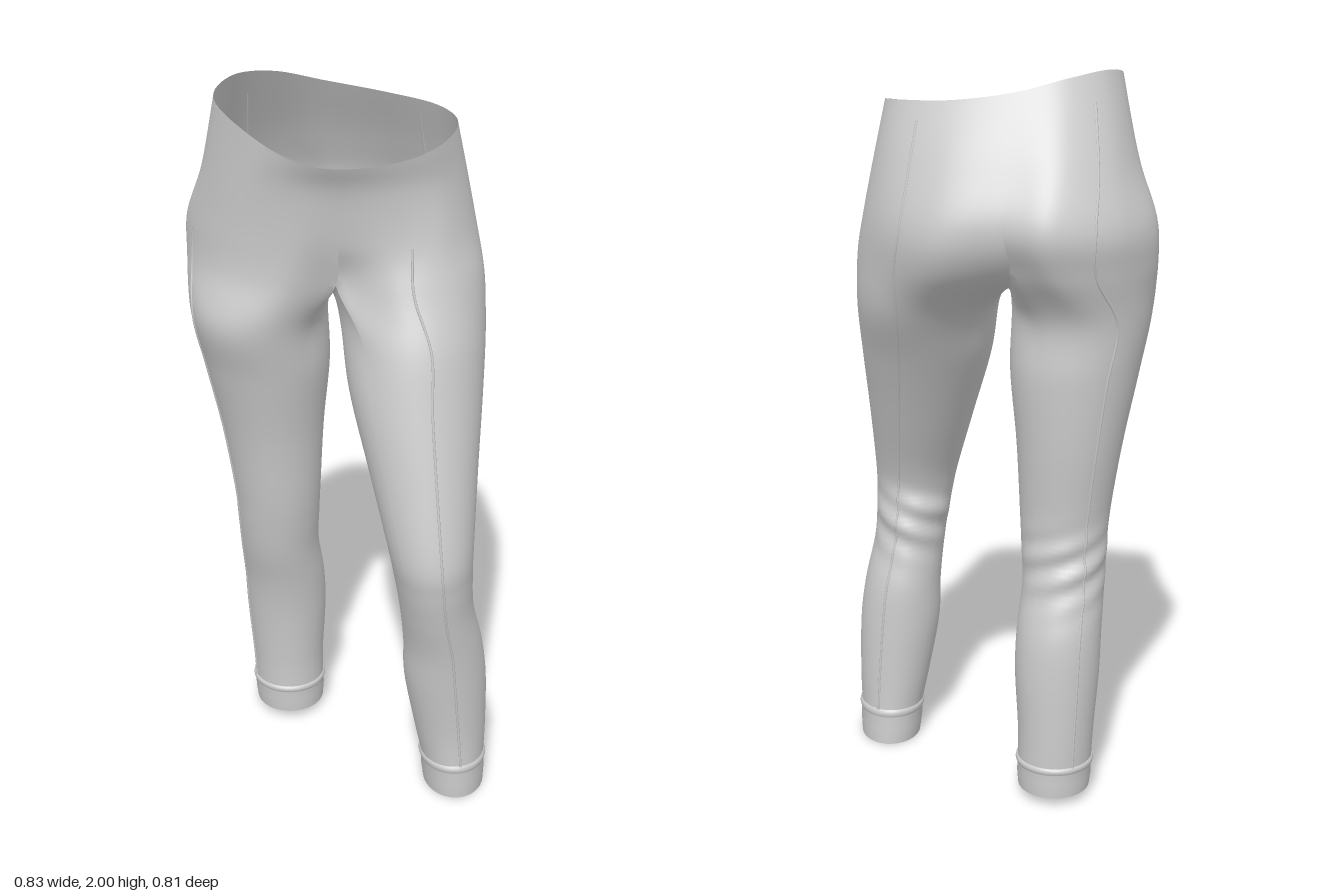
import * as THREE from 'three';
import { mergeVertices } from 'three/addons/utils/BufferGeometryUtils.js';

const V = (x, y, z) => new THREE.Vector3(x, y, z);
const LEFT = 1, RIGHT = -1;

// Pelvis rings: 12 (x, z) pairs from front centre, round the left side, back centre, right side.
const waistY = [1.85, 1.86, 1.887, 1.91, 1.922, 1.932, 1.955, 1.988, 2, 1.972, 1.9, 1.86];
const pelvisRings = [
  [waistY, [0, .22, .14, .2, .25, .145, .305, .02, .26, -.1, .13, -.19, -.03, -.225, -.17, -.205, -.28, -.12, -.325, .01, -.22, .12, -.11, .195]],
  [1.77, [0, .185, .15, .175, .27, .12, .335, 0, .29, -.15, .15, -.275, -.03, -.325, -.16, -.338, -.3, -.25, -.365, -.07, -.27, .07, -.13, .155]],
  [1.62, [-.01, .155, .15, .175, .28, .14, .365, 0, .315, -.18, .18, -.325, 0, -.37, -.13, -.403, -.31, -.325, -.41, -.15, -.31, .03, -.15, .13]],
  [1.5, [-.015, .12, .15, .205, .3, .17, .385, .03, .335, -.15, .19, -.3, -.015, -.32, -.14, -.375, -.31, -.315, -.415, -.16, -.33, .02, -.17, .12]],
].map(([y, p]) => new THREE.CatmullRomCurve3(
  Array.from({ length: 12 }, (_, k) => V(p[2 * k], Array.isArray(y) ? y[k] : y, p[2 * k + 1])), true, 'catmullrom'));

// Crotch line, back centre to front centre
const crotch = new THREE.CatmullRomCurve3([
  V(-.015, 1.5, -.32), V(-.018, 1.45, -.23), V(-.02, 1.425, -.1), V(-.02, 1.445, .03), V(-.015, 1.5, .12)]);

// Leg sections: y, min x, max x, back z, front z
const legSections = {
  [LEFT]: [
    [1.36, 0, .391, -.19, .262], [1.2, .02, .382, -.09, .305], [1, .07, .367, .02, .355],
    [.8, .12, .355, .118, .4], [.7, .14, .355, .113, .395], [.6, .157, .362, .108, .375],
    [.48, .17, .39, .085, .348], [.36, .175, .406, .08, .33], [.2, .205, .41, .08, .312], [.09, .228, .408, .078, .31], [0, .237, .408, .072, .31]],
  [RIGHT]: [
    [1.36, -.408, -.03, -.312, .115], [1.2, -.375, -.025, -.305, .075], [1, -.332, -.042, -.29, .03],
    [.8, -.3, -.052, -.267, 0], [.7, -.292, -.056, -.272, -.018], [.6, -.285, -.058, -.29, -.04],
    [.48, -.276, -.042, -.322, -.073], [.36, -.27, -.037, -.332, -.095], [.2, -.256, -.045, -.335, -.11], [.1, -.25, -.045, -.335, -.113], [.025, -.244, -.047, -.335, -.115]],
};
const PELVIS_KEYS = pelvisRings.length;
const LAST = PELVIS_KEYS + legSections[LEFT].length - 1;

// u = 0..6 runs front centre > outer side > back centre; 6..12 returns along the inner leg
const angleOf = (u) => THREE.MathUtils.degToRad(u <= 6 ? -45 + 45 * u : 225 + 15 * (u - 6));
const pelvisPoint = (k, side, u) => pelvisRings[k].getPoint(side === LEFT ? u / 12 : 1 - u / 12);

function sectionPoint([y, x0, x1, z0, z1], side, a, grow = 0) {
  return V((x0 + x1) / 2 + side * ((x1 - x0) / 2 + grow) * Math.sin(a), y,
    (z0 + z1) / 2 + ((z1 - z0) / 2 + grow) * Math.cos(a));
}

// Curve from waist (or crotch) to ankle at position u; returns a function of key index v
function meridian(side, u) {
  const keys = [];
  if (u <= 6) {
    for (let k = 0; k < PELVIS_KEYS; k++) keys.push(pelvisPoint(k, side, u));
  } else {
    const t = (u - 6) / 6;
    const across = sectionPoint(legSections[-side][0], -side, angleOf(u));
    const above = pelvisPoint(2, side, 6).lerp(pelvisPoint(2, side, 0), t);
    const before = above.lerp(across, Math.sin(Math.PI * t));
    keys.push(before, before, before, crotch.getPoint(t));
  }
  const a = angleOf(u);
  for (const s of legSections[side]) keys.push(sectionPoint(s, side, a));
  const curve = new THREE.CatmullRomCurve3(keys, false, 'catmullrom');
  return (v) => {
    const p = curve.getPoint(v / LAST);
    // soft folds behind the knee
    const back = Math.max(0, -Math.cos(a));
    const fold = .008 * back * Math.exp(-(((p.y - .67) / .09) ** 2)) * Math.sin(p.y * 75 + 3 * a);
    p.x += side * Math.sin(a) * fold;
    p.z += Math.cos(a) * fold;
    return p;
  };
}

function gridFaces(index, base, rows, cols, side, skip = () => false) {
  for (let i = 0; i < cols; i++) for (let r = 0; r < rows; r++) {
    if (skip(i, r)) continue;
    const j = (i + 1) % cols, n = rows + 1;
    const a = base + i * n + r, b = a + 1, c = base + j * n + r, d = c + 1;
    if (side === LEFT) index.push(a, b, c, b, d, c);
    else index.push(a, c, b, b, c, d);
  }
}

function makeGeometry(pos, index) {
  let g = new THREE.BufferGeometry();
  g.setAttribute('position', new THREE.Float32BufferAttribute(pos, 3));
  g.setIndex(index);
  g = mergeVertices(g, 1e-5);
  g.computeVertexNormals();
  return g;
}

// Hips and both legs as one continuous shell
function trouserShell() {
  const perU = 8, perV = 7, cols = 12 * perU, rows = (LAST - 0) * perV;
  const pos = [], index = [];
  for (const side of [LEFT, RIGHT]) {
    const base = pos.length / 3;
    for (let i = 0; i < cols; i++) {
      const at = meridian(side, i / perU);
      for (let r = 0; r <= rows; r++) pos.push(...at(r / perV).toArray());
    }
    gridFaces(index, base, rows, cols, side, (i, r) => i >= 6 * perU && r < (PELVIS_KEYS - 1) * perV);
  }
  return makeGeometry(pos, index);
}

// Turned hem with a stitched ridge
function cuff(side) {
  const list = legSections[side], top = list[list.length - 2], end = list[list.length - 1];
  const profile = [[-.2, -.003], [-.14, .004], [-.04, .006], [.06, .004], [.1, .001], [.5, .003], [1, .001]];
  const cols = 48, pos = [], index = [];
  for (let i = 0; i < cols; i++) for (const [t, grow] of profile) {
    const s = top.map((q, k) => q + (end[k] - q) * t);
    pos.push(...sectionPoint(s, side, i / cols * 2 * Math.PI, grow).toArray());
  }
  gridFaces(index, 0, profile.length - 1, cols, side);
  return makeGeometry(pos, index);
}

// Fine raised seam that follows the surface
function seam(side, u, from, to) {
  const at = meridian(side, u);
  const pts = Array.from({ length: 50 }, (_, i) => at(from + (to - from) * i / 49));
  return new THREE.TubeGeometry(new THREE.CatmullRomCurve3(pts), 120, .0035, 6);
}

export function createModel() {
  const group = new THREE.Group();
  const material = new THREE.MeshStandardMaterial({ color: 0xcccccc, side: THREE.DoubleSide });
  const add = (name, geometry) => {
    const mesh = new THREE.Mesh(geometry, material);
    mesh.name = name;
    group.add(mesh);
  };
  add('hipsAndLegs', trouserShell());
  add('leftCuff', cuff(LEFT));
  add('rightCuff', cuff(RIGHT));
  add('leftFrontSeam', seam(LEFT, 1.22, 2, LAST - 1));
  add('leftBackSeam', seam(LEFT, 4.44, .3, LAST - 1));
  add('rightSideSeam', seam(RIGHT, 2.6, 2.2, LAST - 1));
  add('rightBackSeam', seam(RIGHT, 4.44, .3, LAST - 1));
  return group;
}
